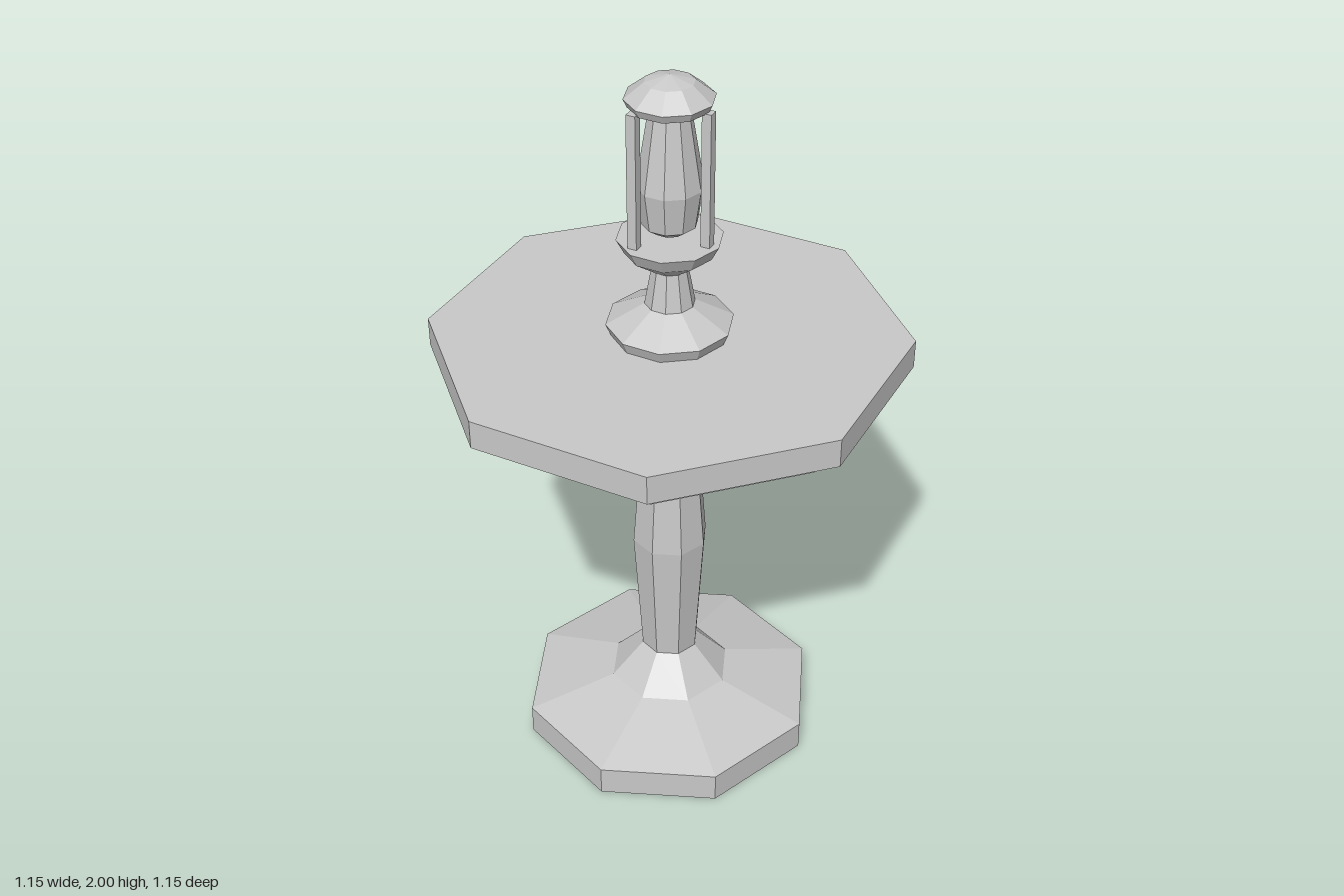
import * as THREE from 'three';

export function createModel() {
  const group = new THREE.Group();
  const grey = new THREE.MeshStandardMaterial({ color: 0xc8c8c8, flatShading: true });
  grey.name = 'plain grey';

  const add = (name, geometry, parent = group) => {
    const mesh = new THREE.Mesh(geometry, grey);
    mesh.name = name;
    parent.add(mesh);
    return mesh;
  };

  // Faceted turned part from [radius, height] pairs, listed bottom to top
  const turned = (name, sides, start, profile, parent) =>
    add(name, new THREE.LatheGeometry(
      profile.map(([r, y]) => new THREE.Vector2(r, y)), sides, start).toNonIndexed(), parent);

  // Octagonal foot and pedestal
  turned('foot', 8, 0, [[0, 0], [0.415, 0], [0.415, 0.085], [0.17, 0.15], [0, 0.15]]);
  turned('column', 8, 0, [
    [0.17, 0.15], [0.08, 0.25], [0.104, 0.63], [0.075, 1.005], [0.147, 1.15],
  ]);

  // Two-step octagonal table top, flat sides facing the axes
  const slab = (name, apothem, y0, y1) => {
    const r = apothem / Math.cos(Math.PI / 8);
    turned(name, 8, Math.PI / 8, [[0, y0], [r, y0], [r, y1], [0, y1]]);
  };
  slab('tableApron', 0.5, 1.15, 1.215);
  slab('tableTop', 0.577, 1.215, 1.293);

  // Ten-sided lantern
  const lantern = new THREE.Group();
  lantern.name = 'lantern';
  group.add(lantern);
  const lathe10 = (name, profile) => turned(name, 10, Math.PI / 2, profile, lantern);
  lathe10('lanternBase', [[0.152, 1.293], [0.165, 1.325], [0.065, 1.38]]);
  lathe10('lanternStem', [[0.065, 1.38], [0.047, 1.48]]);
  lathe10('lanternTray', [[0.047, 1.48], [0.115, 1.53], [0.135, 1.568], [0, 1.568]]);
  lathe10('lanternGlass', [
    [0, 1.58], [0.04, 1.585], [0.07, 1.607], [0.085, 1.71], [0.05, 1.925],
  ]);
  lathe10('lanternCap', [
    [0, 1.922], [0.102, 1.922], [0.112, 1.943], [0.062, 1.983], [0, 2],
  ]);

  // Three square rods holding the cap
  for (let i = 0; i < 3; i++) {
    const a = (i * Math.PI * 2) / 3;
    const rod = add('lanternRod', new THREE.BoxGeometry(0.025, 0.357, 0.025), lantern);
    rod.position.set(0.103 * Math.cos(a), 1.7465, 0.103 * Math.sin(a));
  }

  return group;
}
